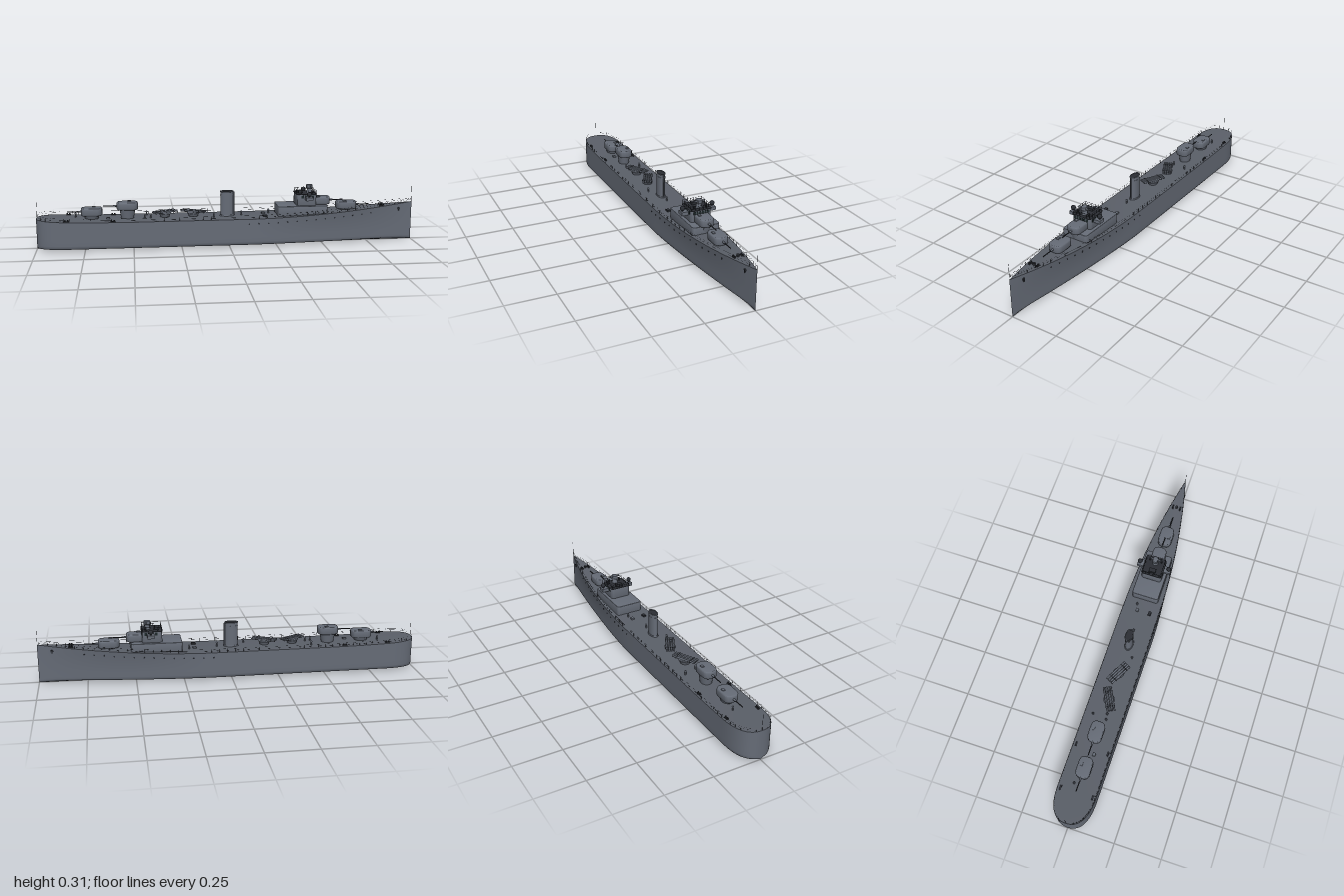
import * as THREE from 'three';
import { toCreasedNormals } from 'three/addons/utils/BufferGeometryUtils.js';

const mat = (name, color) => {
  const m = new THREE.MeshStandardMaterial({ color });
  m.name = name;
  return m;
};

// Hull lines: deck height, deck half-width, bilge half-width
const sternW = x => Math.pow(Math.max(0, 1 - Math.pow(Math.max(0, 1 - (x + 1) / 0.18), 2.6)), 0.41);
const bowS = x => Math.min(1, Math.max(0, (x - 0.1) / 0.9));
const deckY = x => 0.15 + 0.055 * Math.pow(bowS(x), 1.7) + 0.012 * Math.pow(Math.max(0, (-0.5 - x) / 0.5), 2);
const deckW = x => 0.102 * sternW(x) * (1 - Math.pow(bowS(x), 2.2));
const bilgeW = x => 0.102 * sternW(x) * (1 - Math.pow(bowS(x), 1.5));
const sideZ = (x, y) => {
  const t = Math.min(1, Math.max(0, (y - 0.03) / (deckY(x) - 0.03)));
  return bilgeW(x) + (deckW(x) - bilgeW(x)) * t * t;
};

// Surface through rows of points
function loft(rows) {
  const n = rows[0].length, idx = [];
  for (let i = 0; i < rows.length - 1; i++) for (let j = 0; j < n - 1; j++) {
    const a = i * n + j, b = a + n;
    idx.push(a, a + 1, b, b, a + 1, b + 1);
  }
  const g = new THREE.BufferGeometry();
  g.setAttribute('position', new THREE.Float32BufferAttribute(rows.flat(2), 3));
  g.setIndex(idx);
  g.computeVertexNormals();
  return g;
}

function roundedRect(l, w, r) {
  const s = new THREE.Shape(), a = l / 2, b = w / 2;
  s.moveTo(-a + r, -b);
  s.lineTo(a - r, -b); s.quadraticCurveTo(a, -b, a, -b + r);
  s.lineTo(a, b - r); s.quadraticCurveTo(a, b, a - r, b);
  s.lineTo(-a + r, b); s.quadraticCurveTo(-a, b, -a, b - r);
  s.lineTo(-a, -b + r); s.quadraticCurveTo(-a, -b, -a + r, -b);
  return s;
}

export function createModel() {
  const ship = new THREE.Group();
  ship.name = 'warship';
  const grey = mat('hullGrey', 0x666c77);
  const deckGrey = mat('deckGrey', 0x5b6069);
  const dark = mat('fittingDark', 0x2b2e34);
  const glass = mat('windowDark', 0x1f2a2c);

  const add = (name, geo, m, x = 0, y = 0, z = 0, parent = ship) => {
    const mesh = new THREE.Mesh(geo, m);
    mesh.name = name;
    mesh.position.set(x, y, z);
    parent.add(mesh);
    return mesh;
  };
  const box = (name, l, h, w, m, x, y, z, p) => add(name, new THREE.BoxGeometry(l, h, w), m, x, y, z, p);
  const cyl = (name, r1, r2, h, m, x, y, z, p, n = 24) => add(name, new THREE.CylinderGeometry(r1, r2, h, n), m, x, y, z, p);
  const slab = (name, l, w, h, r, bevel, m, x, y, z, p) => {
    const g = new THREE.ExtrudeGeometry(roundedRect(l - 2 * bevel, w - 2 * bevel, r), {
      depth: h - 2 * bevel, bevelEnabled: bevel > 0, bevelSize: bevel, bevelThickness: bevel, bevelSegments: 3, curveSegments: 8 });
    g.rotateX(-Math.PI / 2).translate(0, bevel, 0);
    return add(name, toCreasedNormals(g, 0.6), m, x, y, z, p);
  };
  const rod = (name, pts, r, m) => {
    const curve = new THREE.CatmullRomCurve3(pts.map(q => new THREE.Vector3(...q)));
    return add(name, new THREE.TubeGeometry(curve, pts.length * 2, r, 4), m);
  };

  // Hull shell with smooth bilge, and deck; stations crowded at the round stern
  const xs = [];
  for (let i = 0; i <= 24; i++) xs.push(-1 + 0.18 * Math.pow(i / 24, 2.4));
  for (let i = 1; i <= 45; i++) xs.push(-0.82 + 1.82 * i / 45);
  const hullRows = xs.map(x => {
    const b = bilgeW(x), half = [];
    for (const t of [1, 0.8, 0.6, 0.4, 0.2, 0]) {
      const y = 0.03 + (deckY(x) - 0.03) * t;
      half.push([x, y, sideZ(x, y)]);
    }
    half.push([x, 0.019, b * 0.985], [x, 0.012, b * 0.93], [x, 0.008, b * 0.7], [x, 0.004, b * 0.35]);
    return [...half, [x, 0, 0], ...half.slice().reverse().map(([px, y, z]) => [px, y, -z])];
  });
  add('hull', loft(hullRows), grey);
  add('deck', loft(xs.map(x => [-1, -0.5, 0, 0.5, 1].map(k =>
    [x, deckY(x) + 0.02 * deckW(x) * (1 - k * k), k * deckW(x)]))), deckGrey);

  // Portholes, anchors, guard rails, bollards on both sides
  for (const s of [1, -1]) {
    for (let i = 0; i < 14; i++) {
      const x = 0.1 + i * 0.051, y = deckY(x) - 0.026;
      cyl('porthole', 0.0042, 0.0042, 0.003, dark, x, y, s * sideZ(x, y), ship, 12).rotation.x = Math.PI / 2;
    }
    const az = sideZ(0.925, 0.172);
    cyl('hawsePipe', 0.007, 0.007, 0.008, dark, 0.925, 0.172, s * az, ship, 12).rotation.x = Math.PI / 2;
    box('anchor', 0.006, 0.018, 0.006, dark, 0.925, 0.168, s * (az + 0.002));

    const path = h => {
      const pts = [];
      for (let i = 0; i <= 50; i++) {
        const x = -0.995 + 1.987 * Math.pow(i / 50, 1.15);
        pts.push([x, deckY(x) + h, s * Math.max(0, deckW(x) - 0.003)]);
      }
      return pts;
    };
    rod('upperRail', path(0.019), 0.0003, dark);
    rod('lowerRail', path(0.01), 0.0003, dark);
    path(0).forEach(([x, y, z]) => cyl('railPost', 0.0005, 0.0005, 0.019, dark, x, y + 0.0095, z, ship, 5));

    for (const x of [-0.84, -0.605, 0.5, 0.83]) {
      const z = s * (deckW(x) - 0.017), y = deckY(x);
      box('bollardBase', 0.026, 0.003, 0.011, dark, x, y + 0.0015, z);
      for (const d of [-0.007, 0.007]) cyl('bollard', 0.004, 0.0035, 0.009, dark, x + d, y + 0.005, z, ship, 10);
    }
  }

  // Jackstaff and ensign staff
  cyl('jackstaff', 0.0008, 0.0008, 0.085, dark, 0.998, 0.245, 0, ship, 6);
  cyl('ensignStaff', 0.0008, 0.0008, 0.085, dark, -0.996, 0.202, 0, ship, 6);

  // Gun mounts: x, base height, barrel direction
  for (const [x, y, dir] of [[0.635, 0.177, 1], [0.49, 0.205, 1], [-0.53, 0.197, -1], [-0.715, 0.17, -1]]) {
    const gun = new THREE.Group();
    gun.name = 'gunTurret';
    gun.position.set(x, y, 0);
    gun.rotation.y = dir > 0 ? 0 : Math.PI;
    ship.add(gun);
    const drop = y - deckY(x) + 0.004;
    cyl('barbette', 0.041, 0.032, drop, grey, 0, -drop / 2, 0, gun).scale.z = 0.85;
    slab('turretShield', 0.11, 0.073, 0.04, 0.026, 0.006, grey, 0, 0, 0, gun);
    box('sightHood', 0.018, 0.006, 0.014, grey, -0.01, 0.041, 0.018, gun);
    cyl('barrelSleeve', 0.0045, 0.0055, 0.022, grey, 0.062, 0.02, 0, gun, 12).rotation.z = -Math.PI / 2;
    cyl('barrel', 0.0024, 0.0032, 0.076, dark, 0.088, 0.02, 0, gun, 12).rotation.z = -Math.PI / 2;
  }

  // Torpedo launchers
  for (const [x, turn] of [[-0.335, 0.48], [-0.185, -0.48]]) {
    const launcher = new THREE.Group();
    launcher.name = 'torpedoLauncher';
    launcher.position.set(x, 0.15, 0);
    launcher.rotation.y = turn;
    ship.add(launcher);
    cyl('turntable', 0.03, 0.024, 0.016, grey, 0, 0.012, 0, launcher);
    box('cradle', 0.05, 0.008, 0.046, grey, 0, 0.024, 0, launcher);
    for (let i = 0; i < 4; i++)
      cyl('torpedoTube', 0.005, 0.005, 0.13, grey, 0, 0.031, (i - 1.5) * 0.012, launcher, 12).rotation.z = Math.PI / 2;
    for (const d of [-0.04, 0.04]) box('tubeBand', 0.003, 0.011, 0.048, dark, d, 0.031, 0, launcher);
  }

  // Funnel with cap, dark mouth and steam pipe
  const funnel = new THREE.Group();
  funnel.name = 'funnel';
  funnel.position.set(-0.007, 0.148, 0);
  funnel.scale.z = 0.58;
  ship.add(funnel);
  cyl('funnelFoot', 0.037, 0.04, 0.01, grey, 0, 0.005, 0, funnel, 32);
  cyl('funnelCasing', 0.034, 0.034, 0.13, grey, 0, 0.068, 0, funnel, 32);
  const lip = add('funnelLip', new THREE.TorusGeometry(0.034, 0.003, 8, 32), grey, 0, 0.134, 0, funnel);
  lip.rotation.x = Math.PI / 2;
  cyl('funnelBand', 0.0355, 0.0355, 0.004, grey, 0, 0.115, 0, funnel, 32);
  cyl('funnelMouth', 0.03, 0.03, 0.002, dark, 0, 0.1335, 0, funnel, 32);
  cyl('steamPipe', 0.004, 0.004, 0.13, grey, 0.036, 0.065, 0, funnel, 10);

  // Deckhouse and bridge
  slab('deckhouse', 0.265, 0.144, 0.06, 0.012, 0.002, grey, 0.39, 0.146, 0);
  slab('bridge', 0.105, 0.11, 0.06, 0.014, 0.002, grey, 0.412, 0.205, 0);
  slab('bridgeRoof', 0.11, 0.114, 0.003, 0.014, 0, dark, 0.412, 0.263, 0);
  for (let i = 0; i < 6; i++)
    box('frontWindow', 0.004, 0.015, 0.011, glass, 0.4638, 0.252, (i - 2.5) * 0.0145);
  for (const s of [1, -1]) {
    for (let i = 0; i < 4; i++) box('sideWindow', 0.013, 0.015, 0.004, glass, 0.39 + i * 0.018, 0.252, s * 0.0545);
    // Bridge wings with searchlights
    box('bridgeWing', 0.036, 0.018, 0.037, grey, 0.42, 0.246, s * 0.0735);
    cyl('lightStand', 0.003, 0.004, 0.012, dark, 0.42, 0.26, s * 0.08, ship, 8);
    add('searchlight', new THREE.SphereGeometry(0.012, 20, 14), dark, 0.42, 0.27, s * 0.08);
    // Bridge-top rail, sides
    for (const y of [0.276, 0.286]) box('bridgeRail', 0.1, 0.001, 0.001, dark, 0.412, y, s * 0.05);
    for (let i = 0; i < 6; i++) box('bridgeRailPost', 0.0014, 0.02, 0.0014, dark, 0.362 + i * 0.02, 0.276, s * 0.05);
  }
  for (const x of [0.362, 0.462]) {
    for (const y of [0.276, 0.286]) box('bridgeRail', 0.001, 0.001, 0.1, dark, x, y, 0);
    for (let i = 1; i < 5; i++) box('bridgeRailPost', 0.0014, 0.02, 0.0014, dark, x, 0.276, -0.05 + i * 0.02);
  }

  // Gun director with rangefinder, and bridge equipment
  cyl('directorPedestal', 0.011, 0.016, 0.026, grey, 0.435, 0.278, 0);
  slab('directorHouse', 0.034, 0.026, 0.019, 0.007, 0.002, grey, 0.435, 0.29, 0);
  cyl('rangefinder', 0.005, 0.005, 0.056, grey, 0.44, 0.301, 0, ship, 14).rotation.x = Math.PI / 2;
  for (const s of [1, -1]) {
    cyl('binocularStand', 0.003, 0.004, 0.013, dark, 0.445, 0.272, s * 0.032, ship, 8);
    box('binocular', 0.01, 0.005, 0.008, dark, 0.445, 0.28, s * 0.032);
  }
  box('chartTable', 0.022, 0.012, 0.036, dark, 0.385, 0.272, 0);

  // Deck hatches, vents and capstans
  box('openHatch', 0.022, 0.01, 0.016, dark, 0.19, 0.156, 0.05);
  for (const [x, z] of [[0.19, -0.02], [-0.63, 0.02]])
    box('hatch', 0.018, 0.01, 0.015, grey, x, deckY(x) + 0.005, z);
  for (const [x, z] of [[0.07, 0], [0.22, -0.03], [-0.08, 0.04], [-0.43, -0.055], [-0.44, 0.02], [-0.41, 0.015], [-0.8, -0.025]]) {
    cyl('ventPipe', 0.004, 0.004, 0.022, grey, x, deckY(x) + 0.011, z, ship, 10);
    cyl('ventCap', 0.003, 0.006, 0.005, grey, x, deckY(x) + 0.023, z, ship, 12);
  }
  cyl('capstan', 0.008, 0.006, 0.012, dark, 0.83, deckY(0.83) + 0.006, 0, ship, 14);

  return ship;
}
